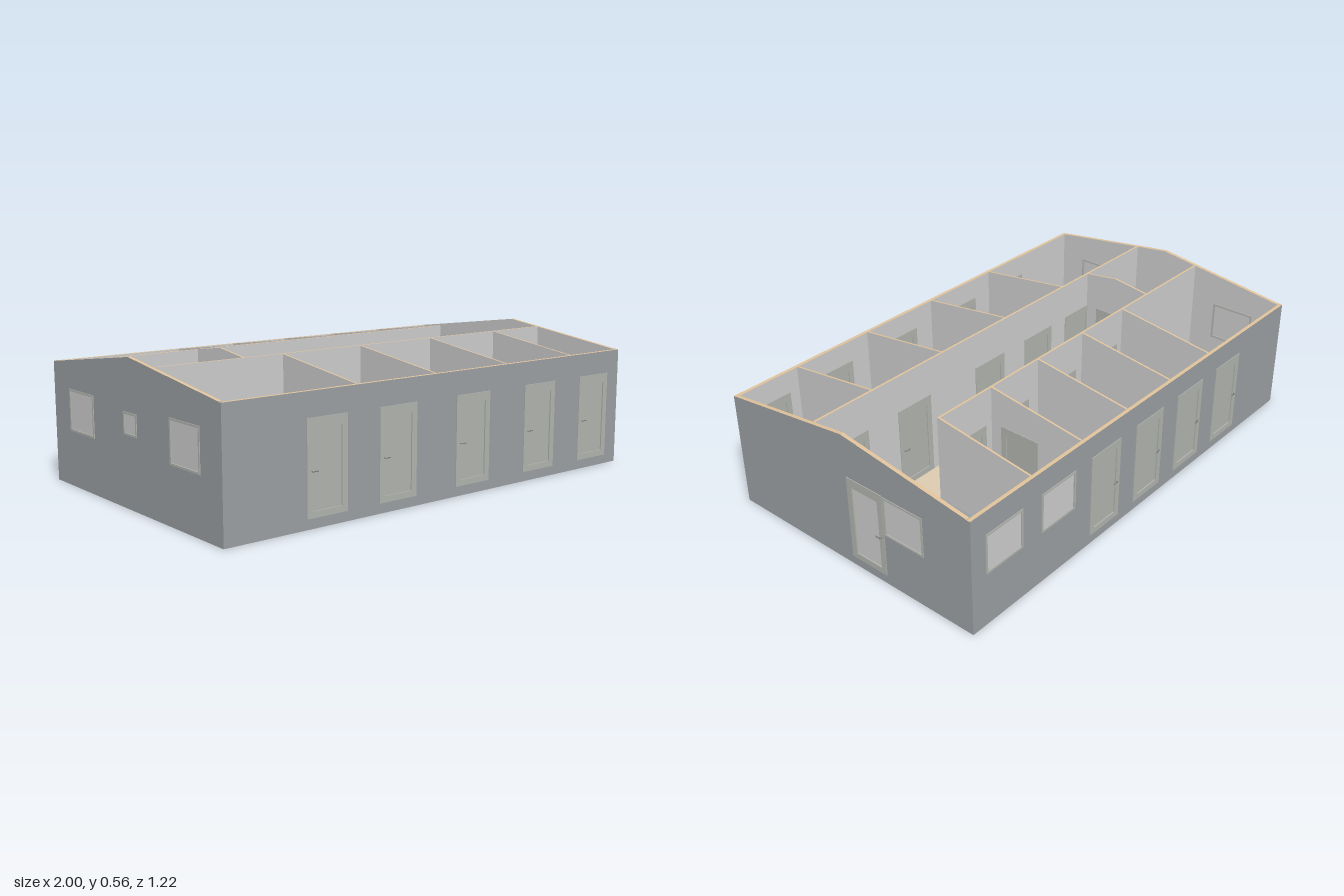
import * as THREE from 'three';

const mat = (color) => new THREE.MeshStandardMaterial({ color });
const plaster = mat(0xcccccc);
const cladding = mat(0x999ea2);
const timber = mat(0xe0c29a);
const flooring = mat(0xdccbb0);
const joinery = mat(0xb0b2ac);
const metal = mat(0x777777);

const FLOOR = 0.035;
const roofLine = (z) => 0.56 - 0.135 * Math.abs(z);

function mesh(name, geometry, material, parent, x = 0, y = 0, z = 0) {
  const m = new THREE.Mesh(geometry, material);
  m.name = name;
  m.position.set(x, y, z);
  parent.add(m);
  return m;
}

function rect(Type, a, b, y0, y1) {
  const r = new Type();
  r.moveTo(a, y0);
  r.lineTo(b, y0);
  r.lineTo(b, y1);
  r.lineTo(a, y1);
  r.closePath();
  return r;
}

// Gives the horizontal edges, the two faces and the ends their own finish
function finishFaces(geometry) {
  const n = geometry.attributes.normal;
  geometry.clearGroups();
  for (let i = 0; i < n.count; i += 3) {
    const side = n.getZ(i) > 0.5 ? 0 : n.getZ(i) < -0.5 ? 1 : 2;
    geometry.addGroup(i, 3, Math.abs(n.getY(i)) > 0.5 ? 3 : side);
  }
  return geometry;
}

// Frame ring with a thinner panel set into it
function addFramedPanel(name, wall, o, t, border, panelMaterial) {
  const g = new THREE.Group();
  g.name = name;
  const { a, b, y0, y1 } = o;
  const [bottom, top] = [border.bottom, border.top];
  const frame = rect(THREE.Shape, a, b, y0, y1);
  frame.holes.push(rect(THREE.Path, a + border.side, b - border.side, y0 + bottom, y1 - top));
  const depth = t + 0.006;
  mesh('frame', new THREE.ExtrudeGeometry(frame, { depth, bevelEnabled: false }), joinery, g, 0, 0, -0.003);
  const w = b - a - 2 * border.side;
  const h = y1 - y0 - bottom - top;
  mesh('panel', new THREE.BoxGeometry(w, h, t * 0.7), panelMaterial, g, (a + b) / 2, y0 + bottom + h / 2, t / 2);
  wall.add(g);
  return g;
}

// Lever handles on both faces of a door
function addHandles(door, u, inward, t) {
  for (const s of [-1, 1]) {
    const z = t / 2 + s * (t / 2 + 0.003);
    const path = new THREE.CatmullRomCurve3([
      new THREE.Vector3(u, 0.203, z - s * 0.004),
      new THREE.Vector3(u, 0.203, z + s * 0.005),
      new THREE.Vector3(u + inward * 0.004, 0.203, z + s * 0.007),
      new THREE.Vector3(u + inward * 0.024, 0.203, z + s * 0.006),
    ]);
    mesh('handle', new THREE.TubeGeometry(path, 10, 0.0018, 6), metal, door);
  }
}

// Upright wall; its outline lies in the XY plane and is cut by the openings
function makeWall(name, outline, t, openings, faces) {
  const wall = new THREE.Group();
  wall.name = name;
  const shape = new THREE.Shape(outline.map(([x, y]) => new THREE.Vector2(x, y)));
  const inset = 0.001;
  for (const o of openings) {
    shape.holes.push(rect(THREE.Path, o.a + inset, o.b - inset, o.y0 + inset, o.y1 - inset));
    if (o.handle === undefined) {
      addFramedPanel('window', wall, o, t, { side: 0.008, bottom: 0.008, top: 0.008 }, plaster);
    } else {
      const border = { side: 0.024, bottom: 0.024, top: 0.036 };
      const door = addFramedPanel('door', wall, o, t, border, o.glazed ? plaster : joinery);
      addHandles(door, o.handle, o.handle < (o.a + o.b) / 2 ? 1 : -1, t);
    }
  }
  const geometry = finishFaces(new THREE.ExtrudeGeometry(shape, { depth: t, bevelEnabled: false }));
  mesh('wallPanel', geometry, [...faces, timber], wall);
  return wall;
}

const win = (a, b, y0 = 0.22, y1 = 0.385) => ({ a, b, y0, y1 });
const door = (a, handle, glazed = false) => ({ a, b: a + 0.176, y0: 0.038, y1: 0.388, handle, glazed });
const leftHandled = (a) => door(a, a + 0.02);
const rightHandled = (a) => door(a, a + 0.156);

const OUT_FRONT = [cladding, plaster, cladding];
const OUT_BACK = [plaster, cladding, cladding];
const INSIDE = [plaster, plaster, plaster];

export function createModel() {
  const model = new THREE.Group();
  model.name = 'building';

  // Wall running along x
  const wallX = (name, x0, x1, z, t, y0, y1, openings, faces) => {
    const w = makeWall(name, [[x0, y0], [x1, y0], [x1, y1], [x0, y1]], t, openings, faces);
    w.position.z = z;
    model.add(w);
  };
  // Wall running along z with a top following the roof pitch; local u = -z
  const wallZ = (name, z0, z1, x, t, y0, openings, faces) => {
    const top = [[-z0, roofLine(z0)], [-z1, roofLine(z1)]];
    if (z0 < 0 && z1 > 0) top.splice(1, 0, [0, roofLine(0)]);
    const w = makeWall(name, [[-z1, y0], [-z0, y0], ...top], t, openings, faces);
    w.rotation.y = Math.PI / 2;
    w.position.x = x;
    model.add(w);
  };

  // Floor slab
  mesh('floor', new THREE.BoxGeometry(1.957, 0.033, 1.167),
    [cladding, cladding, flooring, cladding, cladding, cladding], model, -0.0075, FLOOR - 0.0165, -0.0025);

  // Outer walls
  wallX('frontWall', -1, 0.985, 0.58, 0.015, 0, 0.48,
    [-0.662, -0.338, 0.039, 0.411, 0.739].map(leftHandled), OUT_FRONT);
  wallX('backWall', -1, 0.985, -0.6, 0.015, 0, 0.48,
    [...[-0.662, -0.385, -0.109, 0.166].map(leftHandled), win(0.435, 0.625), win(0.725, 0.915)], OUT_BACK);
  wallZ('rightEndWall', -0.585, 0.58, 0.97, 0.015, 0,
    [door(0.012, 0.176, true), win(0.19, 0.38)], OUT_FRONT);
  wallZ('leftEndWall', -0.585, 0.58, -1, 0.015, 0,
    [win(-0.465, -0.275), win(-0.05, 0.045, 0.275, 0.36), win(0.275, 0.47)], OUT_BACK);

  // Corridor walls
  wallX('frontCorridorWall', -0.985, 0.97, 0.15, 0.009, FLOOR, 0.54,
    [-0.624, -0.351, -0.041, 0.397, 0.729].map(rightHandled), INSIDE);
  wallX('backCorridorWall', -0.985, 0.67, -0.165, 0.009, FLOOR, 0.538,
    [-0.624, -0.399, -0.121, 0.178, 0.424].map(rightHandled), INSIDE);

  // Room partitions
  for (const x of [-0.435, -0.06, 0.315, 0.688])
    wallZ('frontPartition', 0.159, 0.58, x - 0.004, 0.008, FLOOR, [], INSIDE);
  for (const x of [-0.435, -0.163, 0.115, 0.387, 0.666])
    wallZ('backPartition', -0.585, -0.165, x - 0.004, 0.008, FLOOR,
      x === 0.387 ? [rightHandled(0.214)] : [], INSIDE);
  wallZ('corridorPartition', -0.156, 0.15, -0.614, 0.008, FLOOR, [rightHandled(-0.096)], INSIDE);

  // L-shaped kitchen counter
  const kitchen = new THREE.Group();
  kitchen.name = 'kitchenCounter';
  model.add(kitchen);
  const H = 0.14;
  const y = FLOOR + H / 2;
  mesh('sideCabinet', new THREE.BoxGeometry(0.096, H, 0.402), cladding, kitchen, 0.718, y, -0.384);
  mesh('backCabinet', new THREE.BoxGeometry(0.204, H, 0.1), cladding, kitchen, 0.868, y, -0.535);
  mesh('sideWorktop', new THREE.BoxGeometry(0.1, 0.008, 0.405), cladding, kitchen, 0.72, FLOOR + H + 0.004, -0.3825);
  mesh('backWorktop', new THREE.BoxGeometry(0.2, 0.008, 0.105), cladding, kitchen, 0.87, FLOOR + H + 0.004, -0.5325);
  for (let i = 0; i < 4; i++) {
    mesh('cabinetHandle', new THREE.BoxGeometry(0.006, 0.004, 0.025), metal, kitchen, 0.769, 0.155, -0.43 + i * 0.068);
    if (i < 3)
      mesh('cabinetHandle', new THREE.BoxGeometry(0.025, 0.004, 0.006), metal, kitchen, 0.81 + i * 0.06, 0.155, -0.482);
  }

  return model;
}
